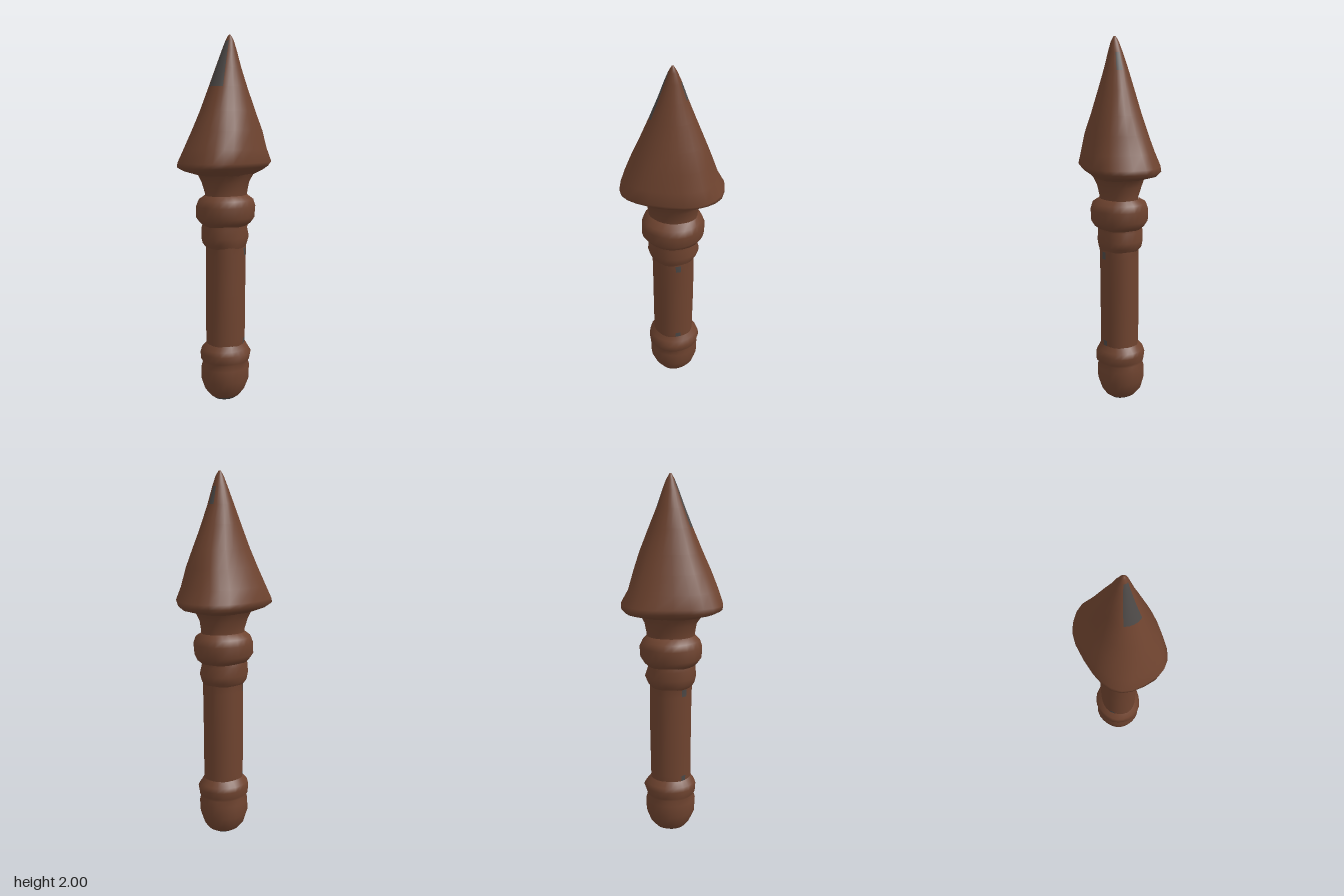
import * as THREE from 'three';

const SEG = 24;

// Rows are [y, left edge x, right edge x, back edge z, front edge z, squareness].
// isWorn(y, segment) picks the faces that show the worn grey colour.
function loft(name, rows, materials, isWorn = () => false, capTop = false, capBottom = false) {
  const pos = [], brown = [], grey = [];
  rows.forEach(([y, x0, x1, z0, z1, p = 2], r) => {
    for (let i = 0; i < SEG; i++) {
      const a = (i / SEG) * Math.PI * 2, c = Math.cos(a), s = Math.sin(a);
      const bump = 1 + 0.012 * Math.sin(a * 5 + r * 1.3);
      const f = v => Math.sign(v) * Math.pow(Math.abs(v), 2 / p) * bump;
      pos.push((x0 + x1) / 2 + f(c) * (x1 - x0) / 2, y, (z0 + z1) / 2 + f(s) * (z1 - z0) / 2);
    }
  });
  for (let r = 0; r < rows.length - 1; r++) {
    const mid = (rows[r][0] + rows[r + 1][0]) / 2;
    for (let i = 0; i < SEG; i++) {
      const a = r * SEG + i, b = r * SEG + (i + 1) % SEG;
      (isWorn(mid, i) ? grey : brown).push(a, a + SEG, b, b, a + SEG, b + SEG);
    }
  }
  const cap = (r, top) => {
    const [y, x0, x1, z0, z1] = rows[r], k = pos.length / 3;
    pos.push((x0 + x1) / 2, y, (z0 + z1) / 2);
    for (let i = 0; i < SEG; i++) {
      const a = r * SEG + i, b = r * SEG + (i + 1) % SEG;
      (isWorn(y, i) ? grey : brown).push(...(top ? [a, k, b] : [a, b, k]));
    }
  };
  if (capTop) cap(rows.length - 1, true);
  if (capBottom) cap(0, false);

  const geo = new THREE.BufferGeometry();
  geo.setAttribute('position', new THREE.Float32BufferAttribute(pos, 3));
  geo.setIndex([...brown, ...grey]);
  geo.addGroup(0, brown.length, 0);
  if (grey.length) geo.addGroup(brown.length, grey.length, 1);
  geo.computeVertexNormals();
  const mesh = new THREE.Mesh(geo, materials);
  mesh.name = name;
  return mesh;
}

export function createModel() {
  const wood = new THREE.MeshStandardMaterial({ color: 0x6e432f });
  wood.name = 'brown';
  const worn = new THREE.MeshStandardMaterial({ color: 0x4c4846 });
  worn.name = 'wornGrey';
  const mats = [wood, worn];
  const group = new THREE.Group();
  group.name = 'spearheadFinial';

  // Rounded end with its raised band, grey underneath
  group.add(loft('pommel', [
    [0, -0.07, 0.05, -0.07, 0.06],
    [0.015, -0.095, 0.07, -0.095, 0.08],
    [0.05, -0.125, 0.095, -0.125, 0.105],
    [0.11, -0.143, 0.117, -0.146, 0.13],
    [0.18, -0.143, 0.117, -0.15, 0.132],
    [0.21, -0.133, 0.11, -0.142, 0.122],
    [0.225, -0.142, 0.125, -0.146, 0.133],
    [0.265, -0.145, 0.127, -0.158, 0.137],
    [0.29, -0.138, 0.11, -0.145, 0.13],
    [0.32, -0.11, 0.095, -0.12, 0.105],
  ], mats, y => y < 0.02, false, true));

  // Straight handle with a few worn spots
  group.add(loft('shaft', [
    [0.31, -0.11, 0.096, -0.12, 0.106],
    [0.35, -0.112, 0.098, -0.12, 0.106],
    [0.6, -0.112, 0.1, -0.122, 0.108],
    [0.82, -0.11, 0.102, -0.122, 0.11],
    [0.86, -0.11, 0.102, -0.122, 0.112],
    [0.88, -0.115, 0.102, -0.122, 0.115],
  ], mats, (y, i) => (y < 0.35 || (y > 0.82 && y < 0.86)) && (i === 22 || i === 9)));

  // Small collar, large ring and narrow neck
  group.add(loft('collar', [
    [0.86, -0.108, 0.1, -0.118, 0.11],
    [0.885, -0.128, 0.108, -0.135, 0.125],
    [0.92, -0.132, 0.115, -0.148, 0.135],
    [0.97, -0.133, 0.11, -0.132, 0.13],
    [1.0, -0.125, 0.112, -0.135, 0.128],
  ], mats));
  group.add(loft('ring', [
    [0.98, -0.12, 0.105, -0.13, 0.125],
    [1.0, -0.14, 0.13, -0.155, 0.145],
    [1.03, -0.16, 0.15, -0.172, 0.165],
    [1.09, -0.16, 0.152, -0.176, 0.166],
    [1.125, -0.15, 0.14, -0.162, 0.152],
    [1.15, -0.11, 0.1, -0.138, 0.125],
  ], mats));
  group.add(loft('neck', [
    [1.12, -0.11, 0.1, -0.138, 0.125],
    [1.16, -0.105, 0.1, -0.138, 0.125],
    [1.22, -0.125, 0.115, -0.148, 0.137],
    [1.26, -0.14, 0.135, -0.17, 0.165],
    [1.285, -0.16, 0.15, -0.2, 0.2],
  ], mats));

  // Pointed head with a flared, squarish rim and grey wear near the tip
  const wear = (y, i) => (y > 1.74 && y < 1.97 && i >= 4 && i <= 7) ||
    (y > 1.83 && y < 1.94 && (i === 17 || i === 18));
  group.add(loft('head', [
    [1.26, -0.135, 0.13, -0.165, 0.16, 2.2],
    [1.285, -0.195, 0.155, -0.255, 0.24, 2.4],
    [1.305, -0.213, 0.185, -0.272, 0.275, 2.5],
    [1.33, -0.213, 0.205, -0.272, 0.275, 2.5],
    [1.4, -0.19, 0.19, -0.236, 0.248, 2.4],
    [1.5, -0.155, 0.172, -0.208, 0.207, 2.25],
    [1.6, -0.12, 0.143, -0.173, 0.164, 2.1],
    [1.73, -0.082, 0.107, -0.12, 0.11],
    [1.83, -0.052, 0.078, -0.08, 0.069],
    [1.92, -0.022, 0.055, -0.05, 0.035],
    [1.97, -0.003, 0.042, -0.03, 0.015],
    [1.99, 0.008, 0.032, -0.018, 0.004],
    [2.0, 0.014, 0.026, -0.012, -0.002],
  ], mats, wear, true, false));

  return group;
}
